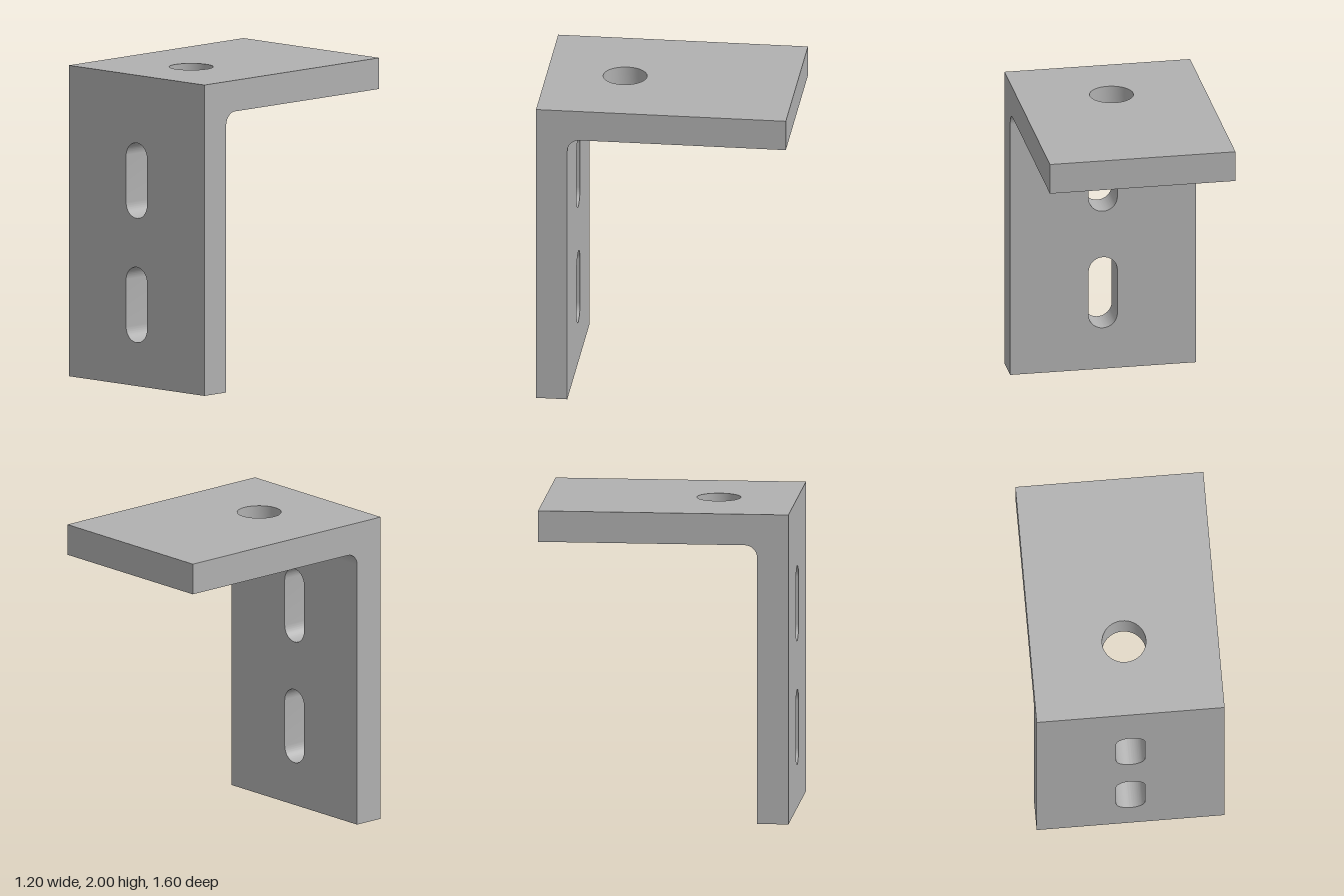
import * as THREE from 'three';
import { toCreasedNormals } from 'three/addons/utils/BufferGeometryUtils.js';

const W = 1.2, T = 0.2, H = 2, FRONT = 0.8, BACK = -0.8, FILLET = 0.08;
const SEAM_Y = H - T - FILLET;      // where the upright meets the corner
const SEAM_Z = FRONT - T - FILLET;  // where the shelf meets the corner

function rectangle(x0, y0, x1, y1) {
  return new THREE.Shape([[x0, y0], [x1, y0], [x1, y1], [x0, y1]].map(p => new THREE.Vector2(...p)));
}

function slot(y, radius, halfStraight) {
  const path = new THREE.Path();
  path.absarc(0, y + halfStraight, radius, 0, Math.PI, false);
  path.absarc(0, y - halfStraight, radius, Math.PI, 2 * Math.PI, false);
  path.closePath();
  return path;
}

const extrude = (shape, depth) =>
  new THREE.ExtrudeGeometry(shape, { depth, bevelEnabled: false, curveSegments: 24 });

// Remove the hidden faces where two pieces join, so the bracket is one clean skin
function openSeam(geometry, seams) {
  const p = geometry.attributes.position, kept = [];
  for (let i = 0; i < p.count; i += 3) {
    const tri = [0, 1, 2].map(k => new THREE.Vector3().fromBufferAttribute(p, i + k));
    const hidden = seams.some(([axis, value]) => tri.every(v => Math.abs(v[axis] - value) < 1e-4));
    if (!hidden) tri.forEach(v => kept.push(v.x, v.y, v.z));
  }
  const result = new THREE.BufferGeometry();
  result.setAttribute('position', new THREE.Float32BufferAttribute(kept, 3));
  return toCreasedNormals(result, 0.6);
}

export function createModel() {
  const group = new THREE.Group();
  group.name = 'angleBracket';
  const steel = new THREE.MeshStandardMaterial({ color: 0xb0b0b0 });
  steel.name = 'grey steel';

  const add = (name, geometry, seams) => {
    const mesh = new THREE.Mesh(openSeam(geometry, seams), steel);
    mesh.name = name;
    group.add(mesh);
  };

  // Upright plate with two vertical slots
  const upright = rectangle(-W / 2, 0, W / 2, SEAM_Y);
  for (const y of [0.522, 1.322]) upright.holes.push(slot(y, 0.0925, 0.15));
  add('uprightPlate', extrude(upright, T).translate(0, 0, FRONT - T), [['y', SEAM_Y]]);

  // Top plate with a round bolt hole
  const shelf = rectangle(-W / 2, -SEAM_Z, W / 2, -BACK);
  shelf.holes.push(new THREE.Path().absarc(0, -0.3, 0.14, 0, 2 * Math.PI, false));
  add('topPlate', extrude(shelf, T).rotateX(-Math.PI / 2).translate(0, H - T, 0), [['z', SEAM_Z]]);

  // Corner with a rounded inside edge
  const corner = new THREE.Shape();
  corner.moveTo(FRONT, SEAM_Y);
  corner.lineTo(FRONT, H);
  corner.lineTo(SEAM_Z, H);
  corner.lineTo(SEAM_Z, H - T);
  // The fillet curves into the open side, leaving extra metal in the angle
  corner.absarc(SEAM_Z, SEAM_Y, FILLET, Math.PI / 2, 0, true);
  corner.closePath();
  add('filletedCorner', extrude(corner, W).rotateY(-Math.PI / 2).translate(W / 2, 0, 0),
    [['y', SEAM_Y], ['z', SEAM_Z]]);

  return group;
}
